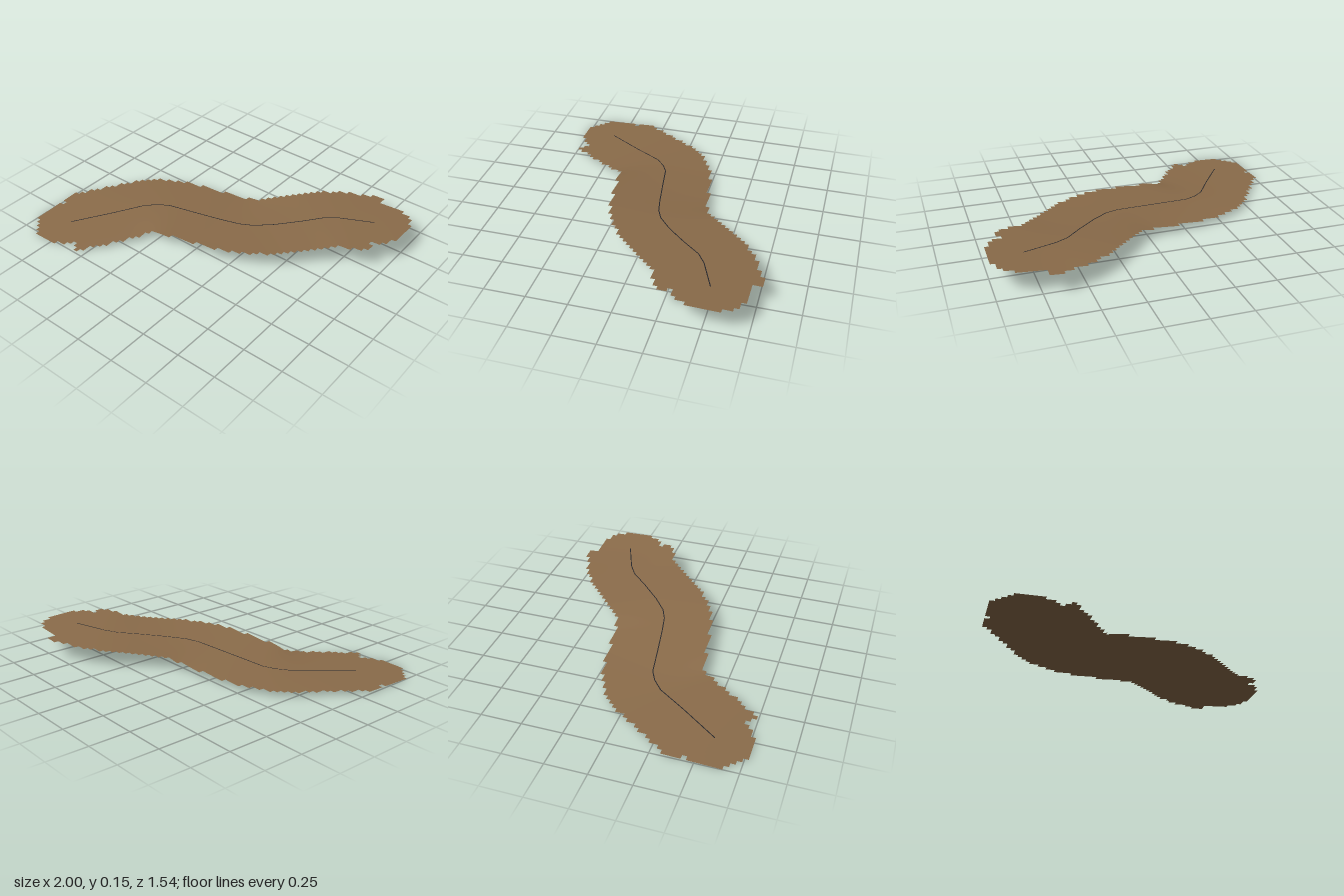
import * as THREE from 'three';

// centre line of the track: x, height, z
const ROUTE = [
  [-0.79, 0.02, 0.56], [-0.63, 0.034, 0.33], [-0.52, 0.044, 0.16], [-0.45, 0.049, 0.1],
  [-0.38, 0.053, 0.065], [-0.2, 0.065, 0.035], [0, 0.079, 0], [0.12, 0.089, -0.025],
  [0.2, 0.095, -0.06], [0.3, 0.102, -0.14], [0.42, 0.113, -0.26], [0.52, 0.123, -0.37],
  [0.6, 0.129, -0.42], [0.8, 0.141, -0.5],
].map((p) => new THREE.Vector3(...p));

// sideways tilt of the ground at each route point
const BANK = [0, 0.01, 0.025, 0.03, 0.035, 0.05, 0.06, 0.06, 0.06, 0.055, 0.05, 0.045, 0.04, 0.05];

const NX = 70, NZ = 54, CELL = 2 / NX;
const HALF_WIDTH = 0.3, END_RADIUS = 0.215, BLEND = 0.11;

// evenly spread samples of the route with direction, grade and bank
function sampleRoute() {
  const samples = [];
  for (let i = 0; i < ROUTE.length - 1; i++) {
    const a = ROUTE[i], b = ROUTE[i + 1];
    const len = Math.hypot(b.x - a.x, b.z - a.z);
    const steps = Math.ceil(len / 0.02);
    const last = i === ROUTE.length - 2 ? 1 : 0;
    for (let k = 0; k < steps + last; k++) {
      const t = k / steps;
      samples.push({
        p: a.clone().lerp(b, t),
        tx: (b.x - a.x) / len, tz: (b.z - a.z) / len,
        grade: (b.y - a.y) / len,
        bank: THREE.MathUtils.lerp(BANK[i], BANK[i + 1], t),
      });
    }
  }
  return samples;
}

// blend the tilted planes of the nearby route samples
function heightAt(x, z, samples) {
  let sum = 0, total = 0;
  for (const s of samples) {
    const dx = x - s.p.x, dz = z - s.p.z;
    const w = Math.exp(-(dx * dx + dz * dz) / (BLEND * BLEND));
    const along = dx * s.tx + dz * s.tz, across = -dx * s.tz + dz * s.tx;
    sum += w * (s.p.y + s.grade * along + s.bank * across);
    total += w;
  }
  return sum / total;
}

// true when a cell lies in the corridor or in a narrower rounded end
function inCorridor(x, z, samples) {
  let best = Infinity, nearest = null;
  for (const s of samples) {
    const d = Math.hypot(x - s.p.x, z - s.p.z);
    if (d < best) { best = d; nearest = s; }
  }
  const along = (x - nearest.p.x) * nearest.tx + (z - nearest.p.z) * nearest.tz;
  const beyond = (nearest === samples[0] && along < -0.01)
    || (nearest === samples[samples.length - 1] && along > 0.01);
  return best < (beyond ? END_RADIUS : HALF_WIDTH);
}

// square-celled ground sheet with a stepped border
function groundGeometry(samples) {
  const positions = [], index = [], ids = new Map();
  const vertex = (i, j) => {
    const key = j * (NX + 1) + i;
    if (!ids.has(key)) {
      const x = (i - NX / 2) * CELL, z = (j - NZ / 2) * CELL;
      ids.set(key, positions.length / 3);
      positions.push(x, Math.max(0, heightAt(x, z, samples)), z);
    }
    return ids.get(key);
  };
  for (let j = 0; j < NZ; j++) {
    for (let i = 0; i < NX; i++) {
      if (!inCorridor((i + 0.5 - NX / 2) * CELL, (j + 0.5 - NZ / 2) * CELL, samples)) continue;
      const a = vertex(i, j), b = vertex(i + 1, j), c = vertex(i, j + 1), d = vertex(i + 1, j + 1);
      index.push(a, c, b, b, c, d);
    }
  }
  const geo = new THREE.BufferGeometry();
  geo.setAttribute('position', new THREE.Float32BufferAttribute(positions, 3));
  geo.setIndex(index);
  geo.computeVertexNormals();
  return geo;
}

// narrow ribbon lying just above the ground
function lineGeometry(samples) {
  const positions = [], index = [], half = 0.003;
  samples.forEach((s, i) => {
    for (const side of [-1, 1]) {
      const x = s.p.x - side * half * s.tz, z = s.p.z + side * half * s.tx;
      positions.push(x, heightAt(x, z, samples) + 0.0015, z);
    }
    if (i > 0) {
      const k = i * 2;
      index.push(k - 2, k - 1, k, k, k - 1, k + 1);
    }
  });
  const geo = new THREE.BufferGeometry();
  geo.setAttribute('position', new THREE.Float32BufferAttribute(positions, 3));
  geo.setIndex(index);
  geo.computeVertexNormals();
  return geo;
}

export function createModel() {
  const earth = new THREE.MeshStandardMaterial({ color: 0x8b6c4a, side: THREE.DoubleSide });
  earth.name = 'earth brown';
  const dark = new THREE.MeshStandardMaterial({ color: 0x26262a, side: THREE.DoubleSide });
  dark.name = 'dark grey';

  const samples = sampleRoute();
  const group = new THREE.Group();
  group.name = 'groundStrip';

  const ground = new THREE.Mesh(groundGeometry(samples), earth);
  ground.name = 'ground';
  const line = new THREE.Mesh(lineGeometry(samples), dark);
  line.name = 'centreLine';
  group.add(ground, line);

  // rest on y = 0 and centre
  const box = new THREE.Box3().setFromObject(group);
  const c = box.getCenter(new THREE.Vector3());
  for (const mesh of group.children) mesh.geometry.translate(-c.x, -box.min.y, -c.z);
  return group;
}
